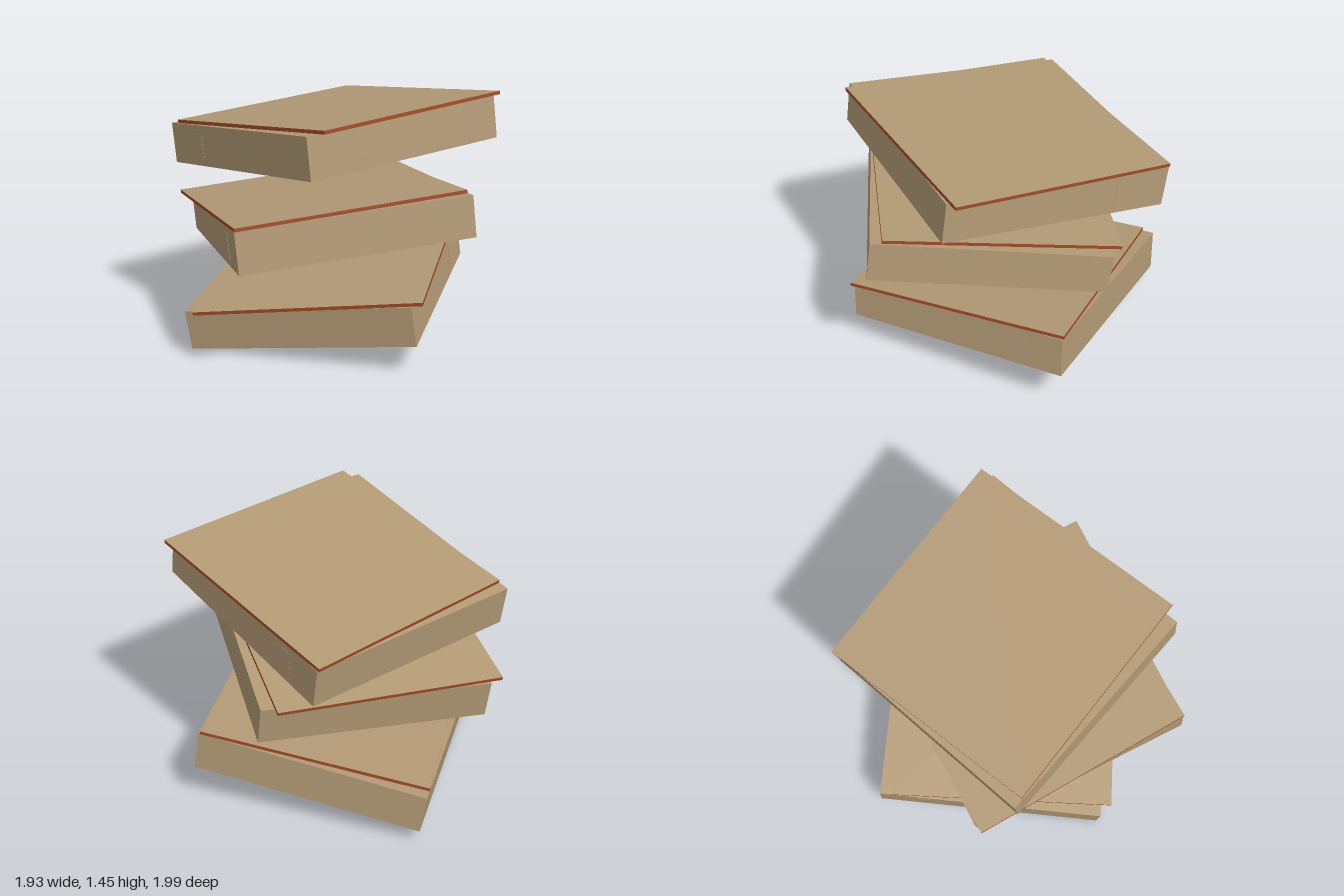
import * as THREE from 'three';

const cardboard = new THREE.MeshStandardMaterial({ color: 0xb39a76 });
cardboard.name = 'cardboard';
const redBrown = new THREE.MeshStandardMaterial({ color: 0xa04a28 });
redBrown.name = 'red brown edge';

const SIZE = 1.338, HEIGHT = 0.237, LID = 1.33, LID_THICK = 0.02;

// Centre, direction of the box's own x axis, up direction, tab side, lid slip (x, z)
const boxes = [
  { name: 'bottomBox', at: [-0.01, 0.264, -0.105], along: [0.11, -0.09, 1.335], up: [-0.03, 0.235, 0.016], tab: -1, slip: [0.027, -0.031] },
  { name: 'middleBox', at: [0.022, 0.751, 0.056], along: [0.775, 0.16, 1.075], up: [-0.03, 0.237, -0.013], tab: 1, slip: [-0.024, 0.04] },
  { name: 'topBox', at: [0.012, 1.218, -0.071], along: [1.13, 0.185, 0.7], up: [-0.03, 0.235, -0.013], tab: -1, slip: [0.023, -0.037] },
];

function block(name, w, h, d, material) {
  const mesh = new THREE.Mesh(new THREE.BoxGeometry(w, h, d), material);
  mesh.name = name;
  return mesh;
}

function makeBox({ name, at, along, up, tab, slip }) {
  const group = new THREE.Group();
  group.name = name;

  // Tilted axes of this box
  const x = new THREE.Vector3(...along).normalize();
  const z = x.clone().cross(new THREE.Vector3(...up)).normalize();
  const y = z.clone().cross(x);
  group.quaternion.setFromRotationMatrix(new THREE.Matrix4().makeBasis(x, y, z));
  group.position.set(...at);

  group.add(block('tray', SIZE, HEIGHT, SIZE, cardboard));

  // Lid slipped and turned slightly: plain on top, red on the edges and underneath
  const r = redBrown;
  const lid = block('lid', LID, LID_THICK, LID, [r, r, cardboard, r, r, r]);
  lid.position.set(slip[0], HEIGHT / 2 + LID_THICK / 2 + 0.001, slip[1]);
  lid.rotation.y = 0.055;
  group.add(lid);

  // Thin side tabs on two opposite walls
  for (const side of [-1, 1]) {
    const flap = block('sideTab', 0.1, 0.14, 0.004, cardboard);
    flap.position.set(tab * 0.4, 0, side * SIZE / 2);
    group.add(flap);
  }
  return group;
}

export function createModel() {
  const model = new THREE.Group();
  model.name = 'boxStack';
  for (const spec of boxes) model.add(makeBox(spec));
  return model;
}
